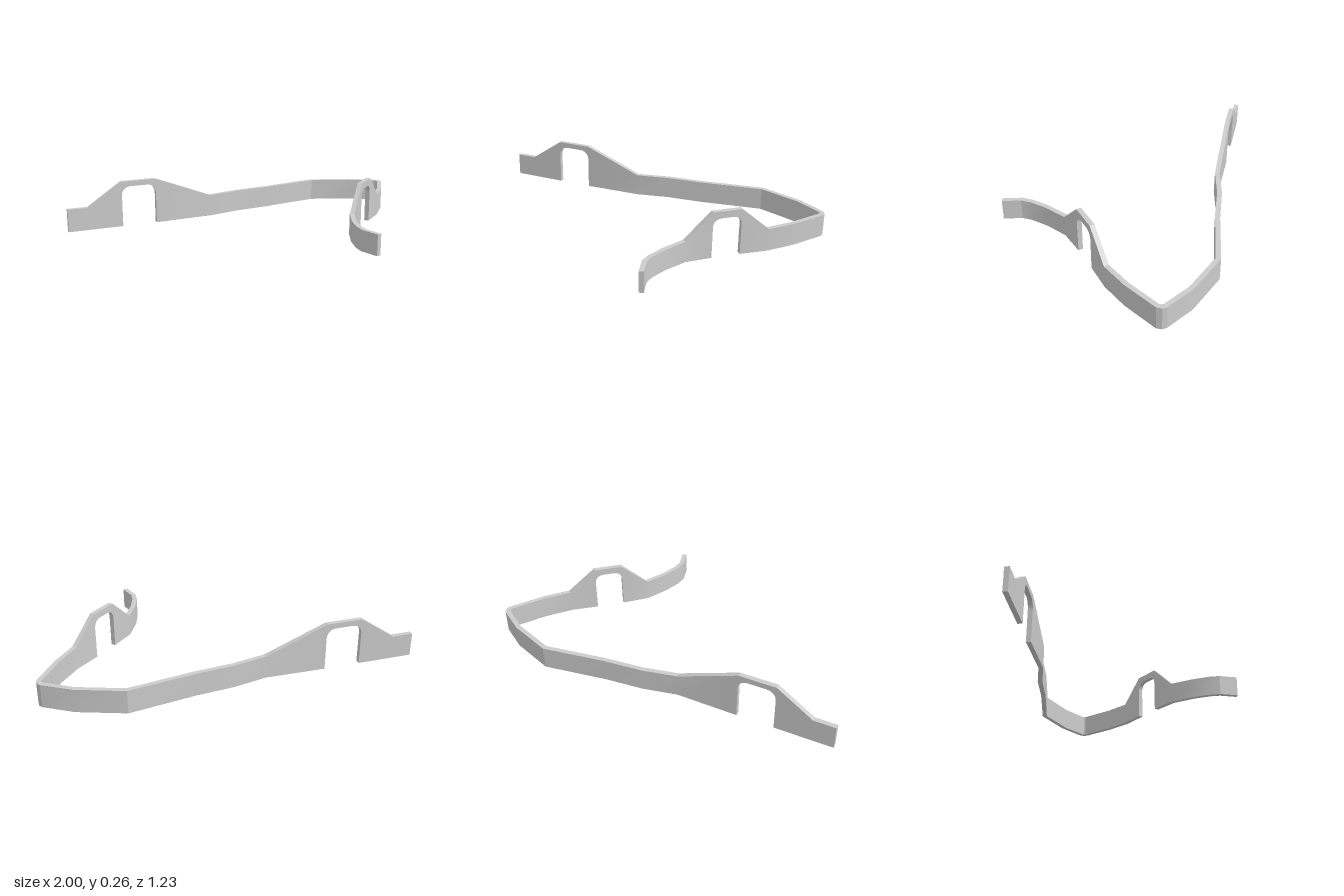
import * as THREE from 'three';
import { toCreasedNormals } from 'three/addons/utils/BufferGeometryUtils.js';

const HALF = 0.013; // half the wall thickness

// Stations across a round-cornered doorway between two plan points
function doorway(a, b, top, crown, radius, floorA, floorB) {
  const out = [];
  const length = Math.hypot(b[0] - a[0], b[1] - a[1]);
  const add = (d, bottom) => {
    const t = d / length;
    out.push([a[0] + (b[0] - a[0]) * t, a[1] + (b[1] - a[1]) * t, top, bottom]);
  };
  const steps = 6;
  const spring = crown - radius;
  add(0, floorA);
  for (let i = 0; i <= steps; i++) {
    const w = (i / steps) * Math.PI / 2;
    add(radius * (1 - Math.cos(w)), spring + radius * Math.sin(w));
  }
  for (let i = steps; i >= 0; i--) {
    const w = (i / steps) * Math.PI / 2;
    add(length - radius * (1 - Math.cos(w)), spring + radius * Math.sin(w));
  }
  add(length, floorB);
  return out;
}

// Rectangular section swept along stations [x, z, top, bottom] with mitred bends
function wallGeometry(stations) {
  const same = (p, q) => Math.hypot(p[0] - q[0], p[1] - q[1]) < 1e-6;
  const direction = (p, q) => new THREE.Vector2(q[0] - p[0], q[1] - p[1]).normalize();
  const sections = stations.map((s, i) => {
    let before = i, after = i;
    while (before >= 0 && same(stations[before], s)) before--;
    while (after < stations.length && same(stations[after], s)) after++;
    const d1 = before >= 0 ? direction(stations[before], s) : direction(s, stations[after]);
    const d2 = after < stations.length ? direction(s, stations[after]) : d1;
    const t = d1.clone().add(d2).normalize();
    const w = HALF / Math.max(0.5, t.dot(d1));
    const nx = t.y * w, nz = -t.x * w;
    const [x, z, top, bottom] = s;
    return [
      [x + nx, bottom, z + nz], [x + nx, top, z + nz],
      [x - nx, top, z - nz], [x - nx, bottom, z - nz],
    ];
  });
  const positions = [];
  const quad = (a, b, c, d) => positions.push(...a, ...b, ...c, ...a, ...c, ...d);
  for (let i = 0; i < sections.length - 1; i++) {
    const p = sections[i], q = sections[i + 1];
    const jamb = same(stations[i], stations[i + 1]);
    for (let k = 0; k < 4; k++) {
      if (jamb && k !== 3) continue; // a jamb only has its upright face
      const m = (k + 1) % 4;
      quad(p[m], q[m], q[k], p[k]);
    }
  }
  const first = sections[0], last = sections[sections.length - 1];
  quad(first[3], first[2], first[1], first[0]);
  quad(last[0], last[1], last[2], last[3]);
  const geometry = new THREE.BufferGeometry();
  geometry.setAttribute('position', new THREE.Float32BufferAttribute(positions, 3));
  return toCreasedNormals(geometry, 0.35);
}

export function createModel() {
  const low = 0.005;
  const stations = [
    // straight end with the first gateway
    [-1, -0.34, 0.13, 0],
    [-0.885, -0.351, 0.13, 0],
    ...doorway([-0.69, -0.369], [-0.49, -0.388], 0.262, 0.232, 0.05, 0, 0),
    [-0.155, -0.42, 0.13, low],
    // long back run
    [0.03, -0.478, 0.13, low],
    [0.235, -0.517, 0.13, low],
    [0.578, -0.605, 0.13, low],
    [0.822, -0.54, 0.13, low],
    // tight corner
    [0.972, -0.463, 0.13, low],
    [0.983, -0.45, 0.13, low],
    [0.985, -0.43, 0.13, low],
    // side run with the second gateway
    [0.892, -0.25, 0.13, low],
    [0.8, -0.118, 0.13, low],
    ...doorway([0.69, -0.008], [0.582, 0.107], 0.262, 0.224, 0.045, low, low),
    // curved tail
    [0.485, 0.222, 0.122, low],
    [0.437, 0.35, 0.12, low],
    [0.416, 0.45, 0.12, low],
    [0.416, 0.51, 0.12, low],
    [0.455, 0.607, 0.12, low],
  ];
  const wall = new THREE.Mesh(
    wallGeometry(stations),
    new THREE.MeshStandardMaterial({ color: 0xcccccc })
  );
  wall.name = 'wallWithGateways';
  const group = new THREE.Group();
  group.name = 'boundaryWall';
  group.add(wall);
  return group;
}
